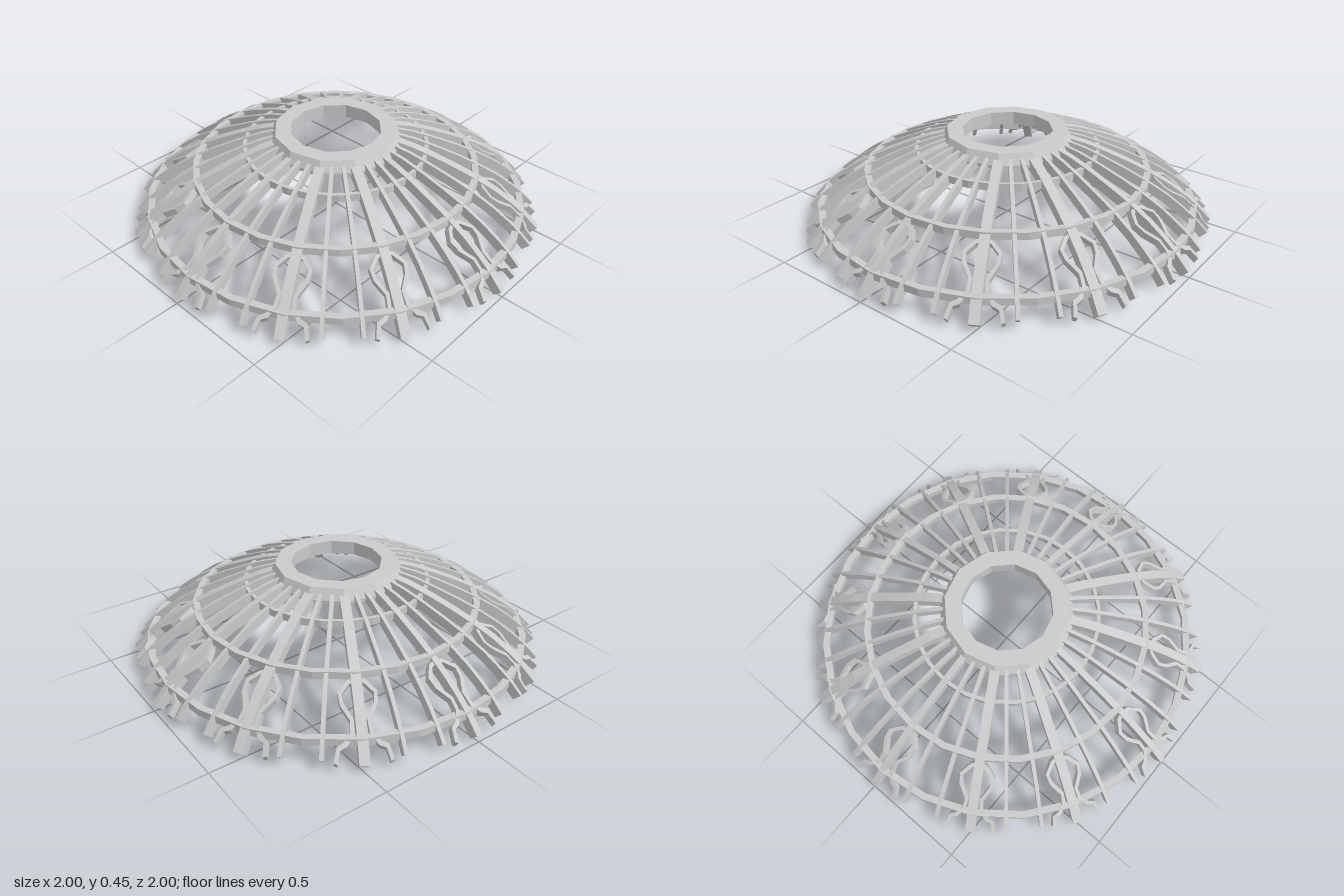
import * as THREE from 'three';

const material = new THREE.MeshStandardMaterial({ color: 0xcccccc, flatShading: true, side: THREE.DoubleSide });

// Upper dome curve as radius, height
const dome = [[0.27, 0.44], [0.38, 0.41], [0.48, 0.372], [0.59, 0.325], [0.69, 0.277],
  [0.79, 0.22], [0.87, 0.163], [0.93, 0.113], [1.0, 0.04]].map(([r, y]) => new THREE.Vector2(r, y));

function domeHeight(r) {
  let i = 1;
  while (i < dome.length - 1 && dome[i].x < r) i++;
  const a = dome[i - 1], b = dome[i];
  return a.y + (b.y - a.y) * (r - a.x) / (b.x - a.x);
}

// Curved bar following the dome, lying in the radius/height plane
function ribGeometry(width, depth, endRadius) {
  const top = dome.filter(p => p.x < endRadius - 0.001);
  top.push(new THREE.Vector2(endRadius, domeHeight(endRadius)));
  const under = top.map((p, i) => {
    const t = top[Math.min(i + 1, top.length - 1)].clone().sub(top[Math.max(i - 1, 0)]).normalize();
    return new THREE.Vector2(p.x + t.y * depth, Math.max(0, p.y - t.x * depth));
  });
  const shape = new THREE.Shape([...top, ...under.reverse()]);
  const geometry = new THREE.ExtrudeGeometry(shape, { depth: width, bevelEnabled: false });
  return geometry.translate(0, 0, -width / 2);
}

// Rectangular strip along a path given as [sideways, radius]
function stripGeometry(path, width, depth) {
  const pos = [], index = [];
  path.forEach(([s, r], i) => {
    const a = path[Math.max(i - 1, 0)], b = path[Math.min(i + 1, path.length - 1)];
    const dir = new THREE.Vector2(b[1] - a[1], b[0] - a[0]).normalize();
    const nx = -dir.y * width / 2, nz = dir.x * width / 2;
    for (const [k, drop] of [[-1, 0], [1, 0], [1, depth], [-1, depth]]) {
      const radius = r + k * nx - drop * 0.5;
      pos.push(radius, domeHeight(r + k * nx) - 0.008 - drop * 0.8, s + k * nz);
    }
    if (i > 0) {
      for (let k = 0; k < 4; k++) {
        const p = (i - 1) * 4 + k, q = (i - 1) * 4 + (k + 1) % 4;
        index.push(p, q, p + 4, q, q + 4, p + 4);
      }
    }
  });
  const e = (path.length - 1) * 4;
  index.push(0, 2, 1, 0, 3, 2, e, e + 1, e + 2, e, e + 2, e + 3);
  const geometry = new THREE.BufferGeometry();
  geometry.setAttribute('position', new THREE.Float32BufferAttribute(pos, 3));
  geometry.setIndex(index);
  geometry.computeVertexNormals();
  return geometry;
}

function latheMesh(name, profile, segments) {
  const points = [...profile, profile[0]].map(([r, y]) => new THREE.Vector2(r, y));
  const mesh = new THREE.Mesh(new THREE.LatheGeometry(points, segments), material);
  mesh.name = name;
  return mesh;
}

export function createModel() {
  const model = new THREE.Group();
  model.name = 'domeFrame';
  const add = (name, geometry, angle) => {
    const mesh = new THREE.Mesh(geometry, material);
    mesh.name = name;
    mesh.rotation.y = angle;
    model.add(mesh);
  };

  // Twelve-sided crown collar with an open centre
  model.add(latheMesh('crownCollar',
    [[0.22, 0.39], [0.325, 0.39], [0.325, 0.405], [0.297, 0.457], [0.22, 0.457]], 12));

  // Hoops: inner radius, outer radius, bottom, top
  for (const [name, r0, r1, y0, y1] of [
    ['upperHoop', 0.432, 0.45, 0.345, 0.38],
    ['middleHoop', 0.668, 0.698, 0.245, 0.28],
    ['lowerHoop', 0.9, 0.932, 0.083, 0.118],
  ]) {
    model.add(latheMesh(name, [[r0, y0], [r1, y0], [r1, y1], [r0, y1]], 24));
  }

  // Main ribs every 30 degrees, two slim ribs between each pair
  const axisRib = ribGeometry(0.03, 0.05, 1);
  const mainRib = ribGeometry(0.045, 0.05, 1);
  const slimRib = ribGeometry(0.018, 0.045, 0.985);
  for (let i = 0; i < 36; i++) {
    const angle = i * Math.PI / 18;
    if (i % 3) add('slimRib', slimRib, angle);
    else add('mainRib', i % 9 ? mainRib : axisRib, angle);
  }

  // Forked scroll on both sides of every main rib
  const half = [[0, 0.712], [0.035, 0.722], [0.075, 0.765], [0.07, 0.805], [0.035, 0.86],
    [0.04, 0.905], [0.07, 0.935], [0.1, 0.945], [0.115, 0.985]];
  const scrolls = [1, -1].map(side => {
    const path = half.map(([s, r]) => [s * side, r]);
    return stripGeometry(path, 0.017, 0.035);
  });
  for (let i = 0; i < 12; i++) {
    for (const scroll of scrolls) add('forkedScroll', scroll, i * Math.PI / 6);
  }
  return model;
}
